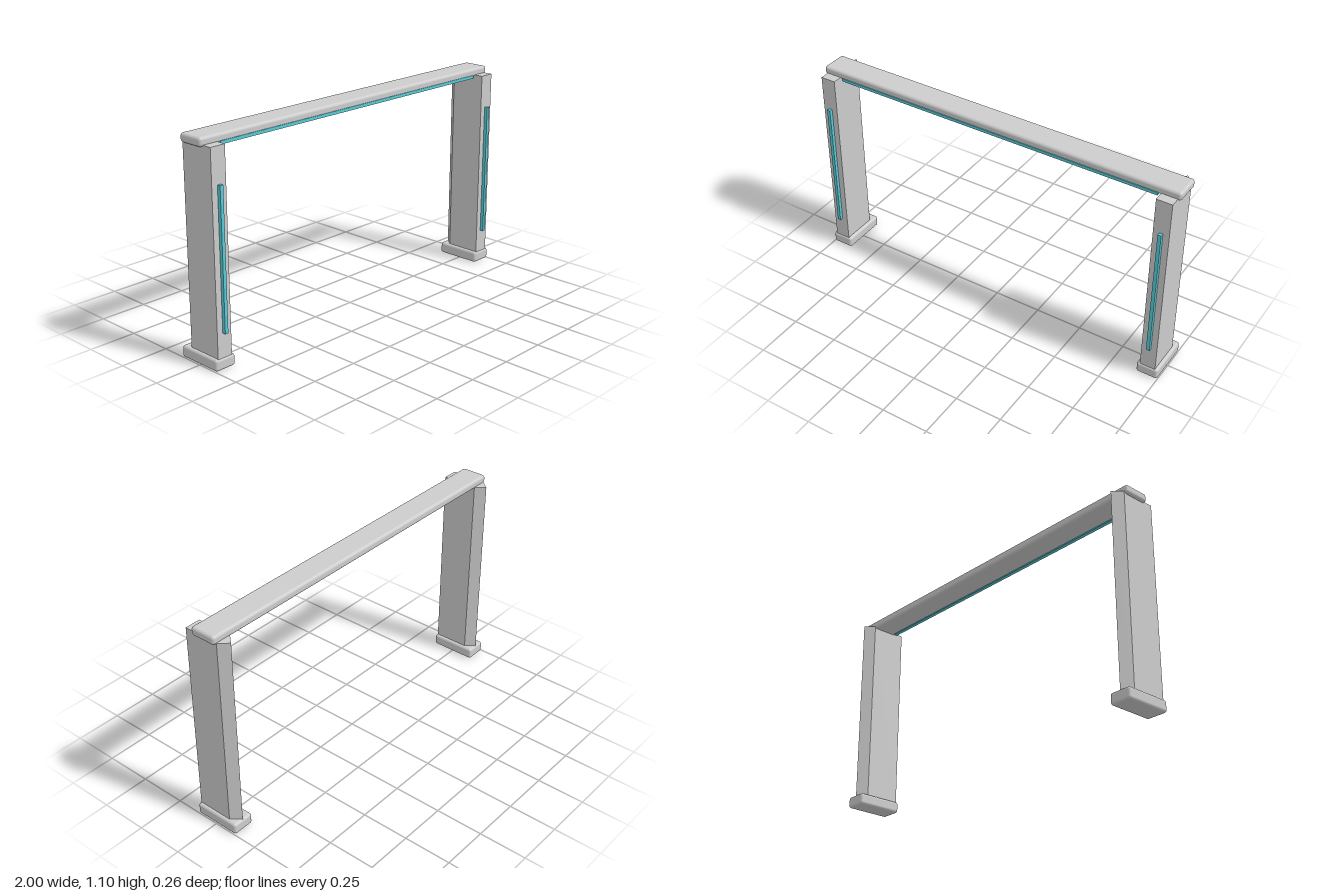
import * as THREE from 'three';
import { RoundedBoxGeometry } from 'three/addons/geometries/RoundedBoxGeometry.js';

const grey = new THREE.MeshStandardMaterial({ color: 0xcccccc });
grey.name = 'light grey';
const teal = new THREE.MeshStandardMaterial({ color: 0x5accd8 });
teal.name = 'teal light';

function add(parent, name, geometry, material, x, y, z) {
  const mesh = new THREE.Mesh(geometry, material);
  mesh.name = name;
  mesh.position.set(x, y, z);
  parent.add(mesh);
}

// Five-sided post: flat front, pointed back
function postGeometry(height) {
  const outline = [[-0.041, -0.113], [0.041, -0.113], [0.041, 0.075], [0, 0.122], [-0.041, 0.075]];
  const shape = new THREE.Shape(outline.map(([x, y]) => new THREE.Vector2(x, y)));
  return new THREE.ExtrudeGeometry(shape, { depth: height, bevelEnabled: false }).rotateX(-Math.PI / 2);
}

export function createModel() {
  const model = new THREE.Group();
  model.name = 'gateway';

  // Mirrored posts with feet and front light strips
  for (const side of [-1, 1]) {
    const leg = new THREE.Group();
    leg.name = side > 0 ? 'leftLeg' : 'rightLeg';
    leg.position.x = side * 0.942;
    add(leg, 'foot', new RoundedBoxGeometry(0.115, 0.06, 0.246, 3, 0.014), grey, 0, 0.03, -0.004);
    add(leg, 'post', postGeometry(1.02), grey, 0, 0.04, 0);
    add(leg, 'postLight', new THREE.BoxGeometry(0.018, 0.705, 0.024), teal, 0, 0.532, 0.119);
    model.add(leg);
  }

  // Rounded crossbeam with a light strip under its front edge
  add(model, 'crossbeam', new RoundedBoxGeometry(2, 0.045, 0.139, 3, 0.015), grey, 0, 1.073, -0.005);
  add(model, 'beamLight', new THREE.BoxGeometry(1.77, 0.016, 0.018), teal, 0, 1.052, 0.058);

  return model;
}
